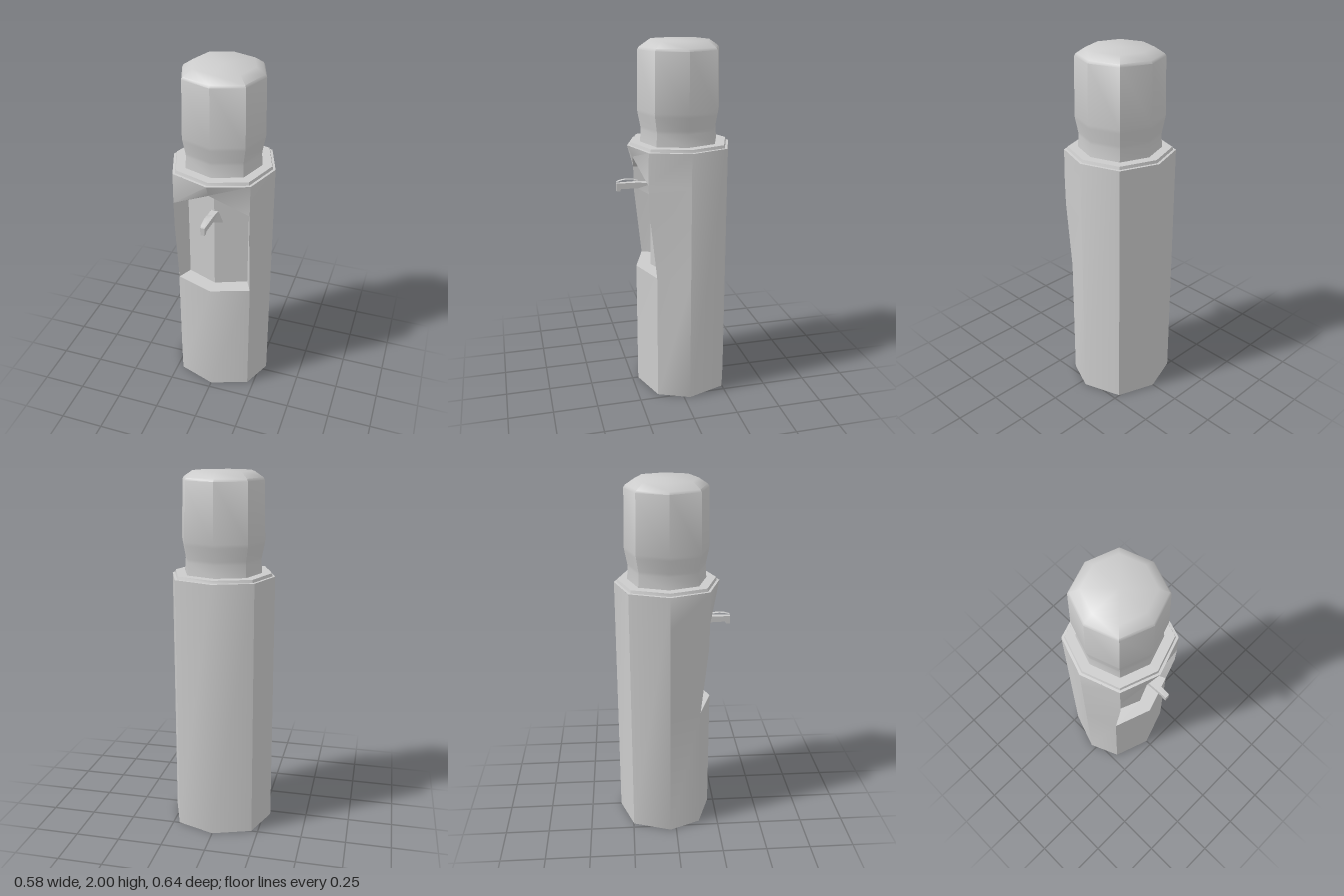
import * as THREE from 'three';
import { toCreasedNormals } from 'three/addons/utils/BufferGeometryUtils.js';

const grey = new THREE.MeshStandardMaterial({ color: 0xcccccc });
const thin = new THREE.MeshStandardMaterial({ color: 0xcccccc, side: THREE.DoubleSide });
const CREASE = 0.75;
const CENTRE_Z = -0.034;

function addMesh(parent, name, geometry, material = grey) {
  const mesh = new THREE.Mesh(geometry, material);
  mesh.name = name;
  parent.add(mesh);
  return mesh;
}

// Fan-triangulates convex faces on the +x half and mirrors them to -x
function mirroredFaces(faces) {
  const pos = [];
  for (const face of faces) {
    const twin = face.map(([x, y, z]) => [-x, y, z]).reverse();
    for (const f of [face, twin]) {
      for (let i = 1; i < f.length - 1; i++) pos.push(...f[0], ...f[i], ...f[i + 1]);
    }
  }
  const g = new THREE.BufferGeometry();
  g.setAttribute('position', new THREE.Float32BufferAttribute(pos, 3));
  return toCreasedNormals(g, CREASE);
}

// Eight-sided turned part whose diagonal corners stand slightly further out
function octagonLathe(profile) {
  const g = new THREE.LatheGeometry(profile.map(([r, y]) => new THREE.Vector2(r, y)), 8);
  const p = g.attributes.position;
  for (let i = 0; i < p.count; i++) {
    const x = p.getX(i), z = p.getZ(i);
    const k = Math.abs(Math.abs(x) - Math.abs(z)) < 1e-4 ? 1.047 : 1;
    p.setXYZ(i, x * k, p.getY(i), z * k);
  }
  g.translate(0, 0, CENTRE_Z);
  return toCreasedNormals(g, CREASE);
}

// Extrudes a (z, y) side outline across x
function sideExtrude(points, width) {
  const shape = new THREE.Shape(points.map(([z, y]) => new THREE.Vector2(z, y)));
  const g = new THREE.ExtrudeGeometry(shape, { depth: width, bevelEnabled: false });
  g.translate(0, 0, -width / 2);
  g.rotateY(-Math.PI / 2);
  return g;
}

function cabinetGeometry() {
  const top = 1.445, ledge = 0.735, eave = 1.268;
  // Front corner edge: height and depth
  const edge = [[0, 0.14], [ledge, 0.14], [1.12, 0.18], [eave, 0.183], [top, 0.18]]
    .map(([y, z]) => [0.214, y, z]);
  const front = (y, z) => [0, y, z];
  const side = y => [0.289, y, CENTRE_Z];
  const rear = y => [0.214, y, -0.248];
  const back = y => [0, y, -0.323];
  const inner = y => [0.175, y, 0.06];
  const peak = front(1.38, 0.227), innerPeak = front(1.33, 0.13), innerFoot = front(ledge, 0.13);

  const faces = [
    [front(0, 0.215), edge[0], edge[1], front(ledge, 0.215)],      // lower front
    [front(ledge, 0.215), edge[1], inner(ledge), innerFoot],       // drip ledge
    [innerFoot, inner(ledge), inner(eave), innerPeak],             // recess panel
    [peak, innerPeak, inner(eave), edge[3]],                       // recess roof
    [peak, edge[3], edge[4], front(top, 0.255)],                   // hood
    [side(0), rear(0), rear(top), side(top)],
    [rear(0), back(0), back(top), rear(top)],
    [back(0), rear(0), side(0), edge[0], front(0, 0.215)],         // base
  ];
  // Outer side panels
  for (let i = 0; i < 4; i++) {
    const a = edge[i], b = edge[i + 1];
    faces.push([a, side(a[1]), side(b[1]), b]);
  }
  // Recess side walls
  for (let i = 1; i < 3; i++) {
    const a = edge[i], b = edge[i + 1];
    faces.push([inner(a[1]), a, b, inner(b[1])]);
  }
  return mirroredFaces(faces);
}

function createTap() {
  const tap = new THREE.Group();
  tap.name = 'tap';

  // Spout, narrowing to the nozzle
  const spout = sideExtrude(
    [[0.11, 1.2], [0.297, 1.203], [0.299, 1.19], [0.32, 1.19], [0.32, 1.235], [0.2, 1.235], [0.11, 1.225]], 0.04);
  const p = spout.attributes.position;
  for (let i = 0; i < p.count; i++) {
    p.setX(i, p.getX(i) * THREE.MathUtils.mapLinear(p.getZ(i), 0.11, 0.32, 1.1, 0.6));
  }
  spout.computeVertexNormals();
  addMesh(tap, 'spout', spout);

  // Thin arched lever over the spout
  const lever = new THREE.PlaneGeometry(0.022, 0.12, 1, 4);
  lever.rotateX(-Math.PI / 2);
  const q = lever.attributes.position;
  for (let i = 0; i < q.count; i++) {
    const t = q.getZ(i) / 0.06;
    q.setXYZ(i, q.getX(i), 1.256 - 0.012 * t * t, q.getZ(i) + 0.259);
  }
  lever.computeVertexNormals();
  addMesh(tap, 'lever', lever, thin);

  // Flared mount spreading onto the panel
  addMesh(tap, 'mount', mirroredFaces([
    [[0, 1.2, 0.2], [0, 1.16, 0.13], [0.045, 1.15, 0.112], [0.018, 1.2, 0.2]],
    [[0.018, 1.2, 0.2], [0.045, 1.15, 0.112], [0.02, 1.23, 0.122], [0.016, 1.225, 0.2]],
  ]), thin);
  return tap;
}

export function createModel() {
  const model = new THREE.Group();
  model.name = 'waterCooler';
  addMesh(model, 'cabinet', cabinetGeometry());
  addMesh(model, 'topRim', octagonLathe([[0.289, 1.445], [0.275, 1.446], [0.27, 1.462], [0, 1.462]]));
  addMesh(model, 'bottle', octagonLathe([
    [0.217, 1.46], [0.212, 1.53], [0.214, 1.548], [0.228, 1.62],
    [0.231, 1.64], [0.224, 1.955], [0.216, 1.968], [0.168, 2], [0, 2],
  ]));
  model.add(createTap());
  return model;
}
